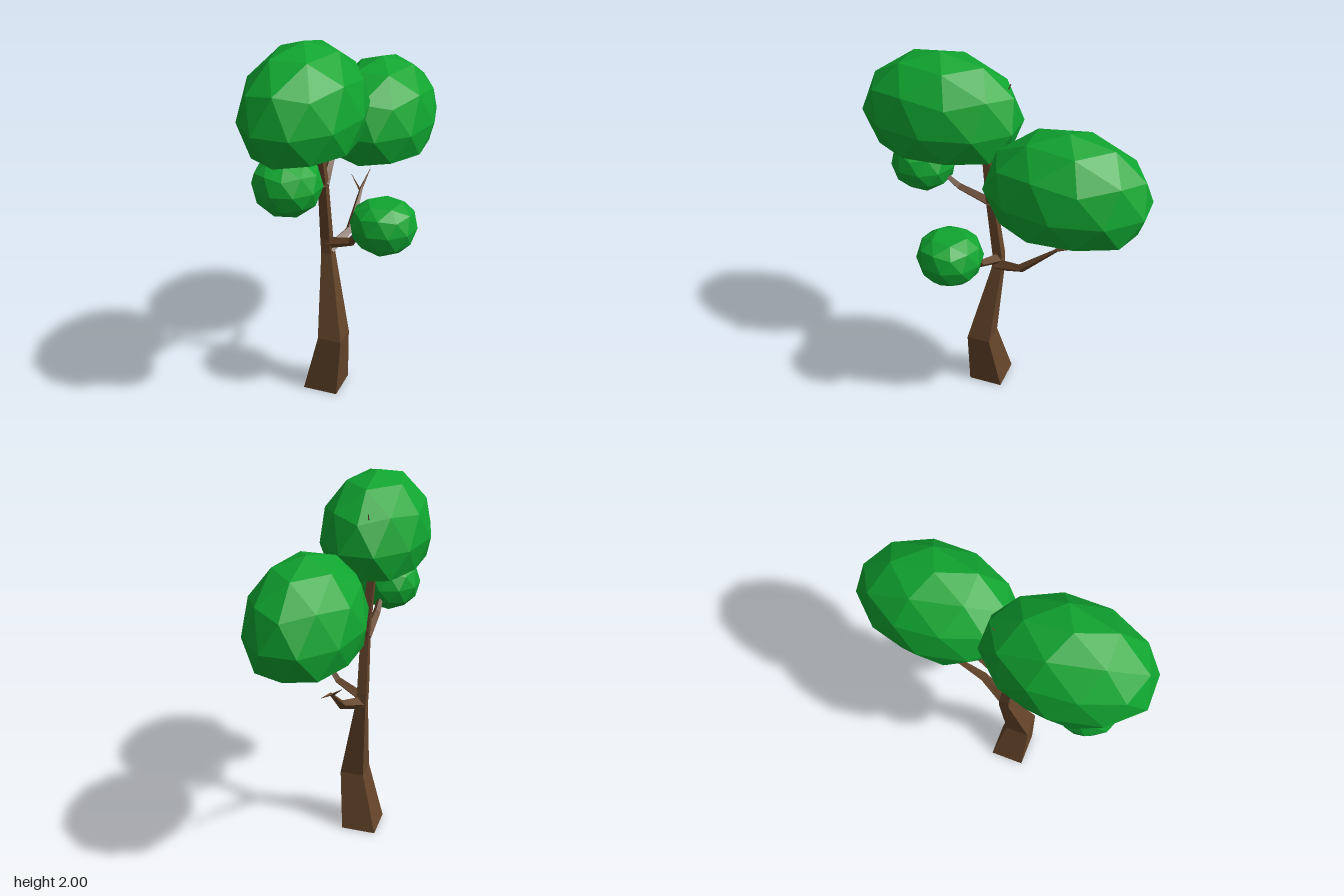
import * as THREE from 'three';

const bark = new THREE.MeshStandardMaterial({ color: 0x65452a, flatShading: true });
const leaf = new THREE.MeshStandardMaterial({ color: 0x10a530, flatShading: true });

// Four-sided tapering limb through points [x, y, z, radius]
function limb(name, pts, level = false) {
  const p = pts.map(([x, y, z]) => new THREE.Vector3(x, y, z));
  const pos = [], idx = [], n = 4;
  p.forEach((c, i) => {
    const t = level ? new THREE.Vector3(0, 1, 0)
      : p[Math.min(i + 1, p.length - 1)].clone().sub(p[Math.max(i - 1, 0)]).normalize();
    const u = level ? new THREE.Vector3(0, 0, 1)
      : new THREE.Vector3(0, 1, 0).cross(t).normalize();
    const v = t.clone().cross(u);
    for (let k = 0; k < n; k++) {
      const a = k / n * Math.PI * 2, r = pts[i][3];
      const q = c.clone().addScaledVector(u, r * Math.cos(a)).addScaledVector(v, r * Math.sin(a));
      pos.push(q.x, q.y, q.z);
      if (i > 0) {
        const b = i * n + k, b2 = i * n + (k + 1) % n;
        idx.push(b - n, b2 - n, b2, b - n, b2, b);
      }
    }
  });
  // End caps
  const e = (p.length - 1) * n;
  idx.push(0, 2, 1, 0, 3, 2, e, e + 1, e + 2, e, e + 2, e + 3);
  const g = new THREE.BufferGeometry();
  g.setAttribute('position', new THREE.Float32BufferAttribute(pos, 3));
  g.setIndex(idx);
  g.computeVertexNormals();
  const m = new THREE.Mesh(g, bark);
  m.name = name;
  return m;
}

// Faceted ball of leaves, cut flat below `low` and above `high`
function foliage(name, [x, y, z], [rx, ry, rz], turn, low, high) {
  const g = new THREE.IcosahedronGeometry(1, 1);
  g.rotateZ(-Math.atan(2 / (1 + Math.sqrt(5)))); // one corner straight up
  const a = g.attributes.position;
  for (let i = 0; i < a.count; i++) a.setY(i, THREE.MathUtils.clamp(a.getY(i), low, high));
  g.scale(rx, ry, rz);
  g.rotateY(turn);
  g.computeVertexNormals();
  const m = new THREE.Mesh(g, leaf);
  m.name = name;
  m.position.set(x, y, z);
  return m;
}

export function createModel() {
  const tree = new THREE.Group();
  tree.name = 'tree';

  // Trunk, bending back and then leaning right
  tree.add(limb('trunk', [
    [-0.135, 0, 0.02, 0.135], [-0.115, 0.34, 0.08, 0.092], [-0.1, 0.8, -0.015, 0.04],
    [-0.105, 0.88, -0.02, 0.037], [-0.135, 1.22, 0.01, 0.03], [-0.175, 1.54, 0.02, 0.026],
    [-0.19, 1.68, 0.04, 0.018]], true));

  // Branches
  tree.add(
    limb('lowerFrontBranch', [[-0.1, 0.85, -0.02, 0.032], [-0.03, 0.905, 0.12, 0.023], [0.02, 1.03, 0.2, 0.013]]),
    limb('bareBranch', [[-0.1, 0.81, -0.01, 0.036], [0.055, 0.87, -0.075, 0.024],
      [0.19, 1.035, -0.215, 0.009], [0.3, 1.092, -0.325, 0.001]]),
    limb('bareTwig', [[0.18, 1.02, -0.205, 0.008], [0.165, 1.09, -0.29, 0.001]]),
    limb('upperRightBranch', [[-0.13, 1.19, 0.0, 0.03], [-0.27, 1.25, 0.13, 0.021], [-0.34, 1.32, 0.2, 0.012]]),
    limb('upperLeftBranch', [[-0.13, 1.2, 0.01, 0.028], [-0.055, 1.285, -0.075, 0.02], [0.04, 1.39, -0.15, 0.012]]),
    limb('topTwig', [[-0.175, 1.5, 0.02, 0.016], [-0.13, 1.7, -0.03, 0.01], [-0.09, 1.868, -0.08, 0.002]]));

  // Two large flat-bottomed crowns and two small clumps
  const big = [0.42, 0.33, 0.287], small = [0.17, 0.155, 0.17];
  tree.add(
    foliage('upperCrown', [-0.3, 1.67, 0.195], big, Math.PI / 4, -0.43, 1),
    foliage('lowerCrown', [0.3, 1.437, -0.195], big, Math.PI / 4, -0.43, 1),
    foliage('rightClump', [-0.425, 1.355, 0.265], small, 0.4, -1, 0.76),
    foliage('frontClump', [0.053, 1.073, 0.318], small, 0.9, -1, 0.76));
  return tree;
}
